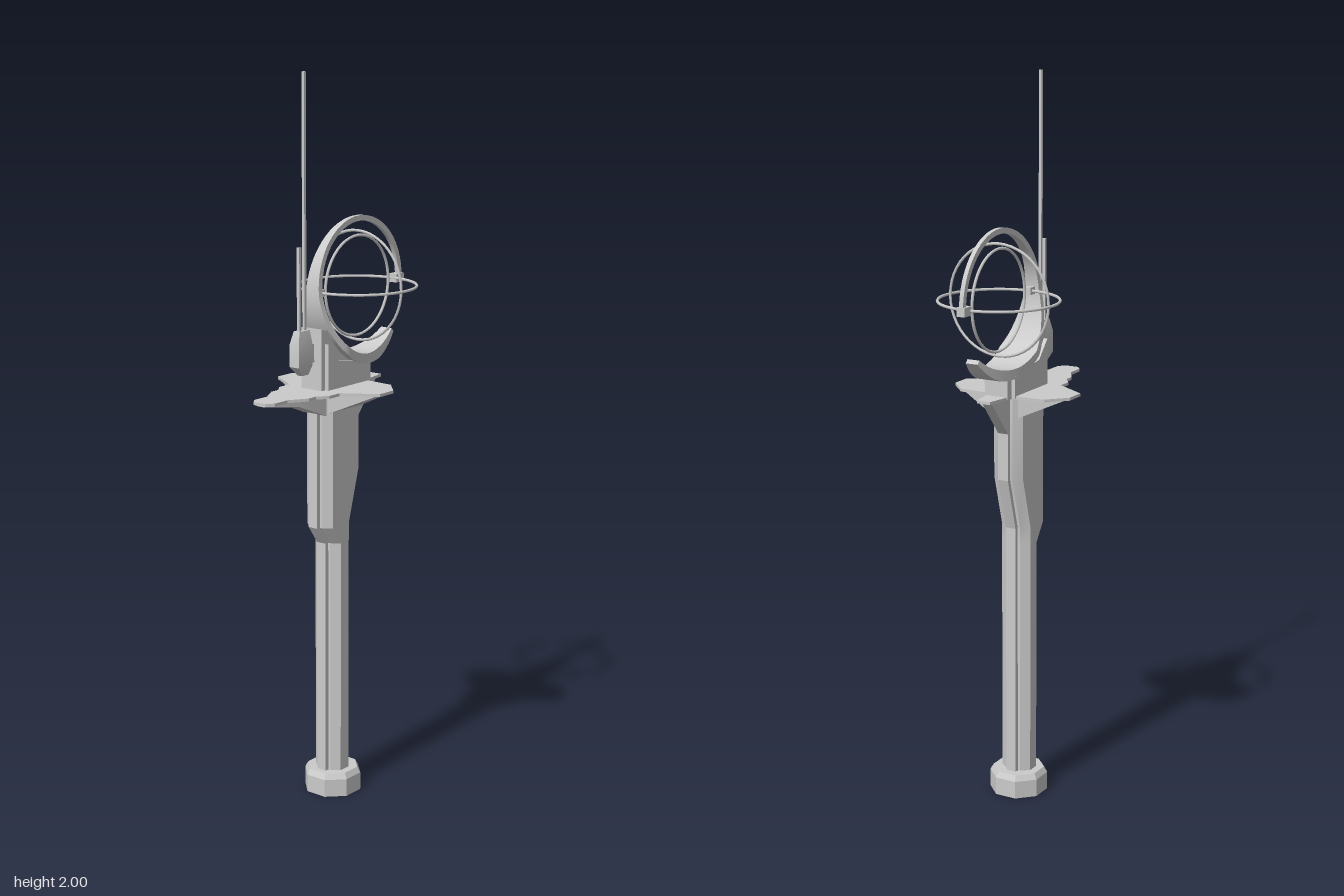
import * as THREE from 'three';
import { toCreasedNormals } from 'three/addons/utils/BufferGeometryUtils.js';
import { ConvexGeometry } from 'three/addons/geometries/ConvexGeometry.js';

const material = new THREE.MeshStandardMaterial({ color: 0xcccccc });
const CX = 0.105, CY = 1.42; // centre of the ring sphere
const v2 = (pts) => pts.map(([x, y]) => new THREE.Vector2(x, y));
const v3 = (pts) => pts.map((p) => new THREE.Vector3(...p));

// Skin a list of equal-length cross-sections, with end caps
function loft(sections) {
  const n = sections[0].length, index = [];
  const last = (sections.length - 1) * n;
  for (let s = 0; s < sections.length - 1; s++) {
    for (let i = 0; i < n; i++) {
      const a = s * n + i, b = s * n + (i + 1) % n;
      index.push(a, b, b + n, a, b + n, a + n);
    }
  }
  for (let i = 1; i < n - 1; i++) {
    index.push(0, i + 1, i, last, last + i, last + i + 1);
  }
  const geometry = new THREE.BufferGeometry();
  geometry.setAttribute('position', new THREE.Float32BufferAttribute(sections.flat(2), 3));
  geometry.setIndex(index);
  return toCreasedNormals(geometry, 0.5);
}

// Side profile in x/y, extruded symmetrically about z = 0
function slab(points, width) {
  const geometry = new THREE.ExtrudeGeometry(new THREE.Shape(v2(points)), { depth: width, bevelEnabled: false });
  return geometry.translate(0, 0, -width / 2);
}

export function createModel() {
  const model = new THREE.Group();
  model.name = 'spireWithRingSphere';
  const add = (name, geometry, x = 0, y = 0, z = 0) => {
    const mesh = new THREE.Mesh(geometry, material);
    mesh.name = name;
    mesh.position.set(x, y, z);
    model.add(mesh);
    return mesh;
  };
  const box = (name, w, h, d, x, y, z = 0) => add(name, new THREE.BoxGeometry(w, h, d), x, y, z);

  // Hollow octagonal foot
  const foot = new THREE.LatheGeometry(v2([
    [0.052, 0.03], [0.058, 0], [0.081, 0], [0.081, 0.05], [0.072, 0.066], [0.04, 0.066],
  ]), 8, Math.PI / 8);
  add('foot', toCreasedNormals(foot, 0.3));

  // Chamfered column, flaring towards the top: [y, left x, right x]
  const levels = [
    [0.02, -0.05, 0.044], [0.73, -0.05, 0.044], [0.78, -0.085, 0.044],
    [0.925, -0.085, 0.085], [1.16, -0.085, 0.085],
  ];
  add('column', loft(levels.map(([y, l, r]) => [
    [l + 0.03, y, 0.045], [r - 0.03, y, 0.045], [r - 0.012, y, 0.022], [r - 0.012, y, -0.022],
    [r - 0.03, y, -0.045], [l + 0.03, y, -0.045], [l + 0.012, y, -0.022], [l + 0.012, y, 0.022],
  ])));

  // Raised spine along both narrow edges, ending in a bracket on the left
  add('spine', slab([
    [-0.05, 0.03], [0.044, 0.03], [0.044, 0.78], [0.085, 0.925], [0.085, 1.055],
    [0.17, 1.157], [-0.085, 1.157], [-0.085, 0.78], [-0.05, 0.73],
  ], 0.03));

  // Flat deck with a stepped tail
  const half = [
    [-0.3, 0.02], [-0.28, 0.035], [-0.23, 0.035], [-0.178, 0.065], [-0.15, 0.065],
    [-0.12, 0.087], [-0.078, 0.087], [-0.02, 0.177], [0.037, 0.177], [0.09, 0.128],
    [0.096, 0.035], [0.185, 0.02],
  ];
  const outline = [...half, ...half.map(([x, z]) => [x, -z]).reverse()];
  const deck = slab(outline, 0.008).rotateX(-Math.PI / 2);
  add('deck', deck, 0, 1.161, 0);

  // Wedges carrying the deck
  for (const s of [1, -1]) {
    add('wingSupport', new ConvexGeometry(v3([
      [-0.07, 1.1, s * 0.04], [0.075, 1.1, s * 0.04], [-0.07, 1.159, s * 0.04],
      [0.075, 1.159, s * 0.04], [-0.02, 1.159, s * 0.17], [0.037, 1.159, s * 0.17],
    ])));
  }
  add('tailSupport', loft([
    [-0.295, 1.154, 0.015], [-0.18, 1.138, 0.035], [-0.075, 1.095, 0.04],
  ].map(([x, y, w]) => [[x, y, w], [x, y, -w], [x, 1.159, -w], [x, 1.159, w]])));

  // Tower above the deck, hollowed to seat the crescent
  const seat = [];
  for (let i = 0; i <= 8; i++) {
    const a = THREE.MathUtils.degToRad(210 + i * 8.5);
    seat.push([CX + 0.192 * Math.cos(a), CY + 0.192 * Math.sin(a)]);
  }
  add('tower', slab([
    [0.12, 1.16], [0.12, 1.215], ...seat.reverse(), [-0.09, 1.33], [-0.09, 1.16],
  ], 0.07));
  add('towerRib', slab([[-0.075, 1.16], [0.1, 1.16], [0.1, 1.22], [-0.03, 1.24], [-0.075, 1.29]], 0.092));

  // Crescent: thin over the top, broad cradle below. [degrees, half width, inner r, outer r]
  const keys = [
    [0, 0.006, 0.175, 0.19], [95, 0.006, 0.175, 0.19], [140, 0.013, 0.175, 0.19],
    [180, 0.022, 0.175, 0.19], [205, 0.038, 0.177, 0.193], [235, 0.057, 0.18, 0.2],
    [260, 0.05, 0.18, 0.207], [285, 0.036, 0.181, 0.21], [314, 0.018, 0.187, 0.2],
  ];
  const crescent = [];
  for (let k = 0; k < keys.length - 1; k++) {
    const steps = Math.ceil((keys[k + 1][0] - keys[k][0]) / 6);
    for (let i = k ? 1 : 0; i <= steps; i++) {
      const [deg, w, inner, outer] = keys[k].map((v, j) => THREE.MathUtils.lerp(v, keys[k + 1][j], i / steps));
      const a = THREE.MathUtils.degToRad(deg);
      const at = (r, z) => [CX + r * Math.cos(a), CY + r * Math.sin(a), z];
      crescent.push([at(inner, -w), at(inner, w), at(outer, w), at(outer, -w)]);
    }
  }
  add('crescent', loft(crescent));

  // Three nested rings and their pivots
  const ring = (name, r) => add(name, new THREE.TorusGeometry(r, 0.004, 6, 48), CX, CY, 0);
  ring('innerRing', 0.136);
  ring('crossRing', 0.149).rotation.y = Math.PI / 2;
  ring('horizonRing', 0.161).rotation.x = Math.PI / 2;
  box('pivot', 0.034, 0.024, 0.024, 0.28, CY);
  box('pivot', 0.03, 0.02, 0.02, -0.06, CY);

  // Antenna housing, tapered at both ends: [y, left x, right x, half depth]
  add('antennaHousing', loft([
    [1.21, -0.138, -0.112, 0.008], [1.235, -0.16, -0.105, 0.016],
    [1.295, -0.16, -0.105, 0.016], [1.33, -0.15, -0.108, 0.01],
  ].map(([y, l, r, d]) => [[l, y, d], [r, y, d], [r, y, -d], [l, y, -d]])));
  box('antennaBracket', 0.03, 0.05, 0.02, -0.095, 1.265);
  box('longAntenna', 0.008, 0.76, 0.008, -0.118, 1.62);
  box('shortAntenna', 0.009, 0.3, 0.009, -0.139, 1.4);

  return model;
}
